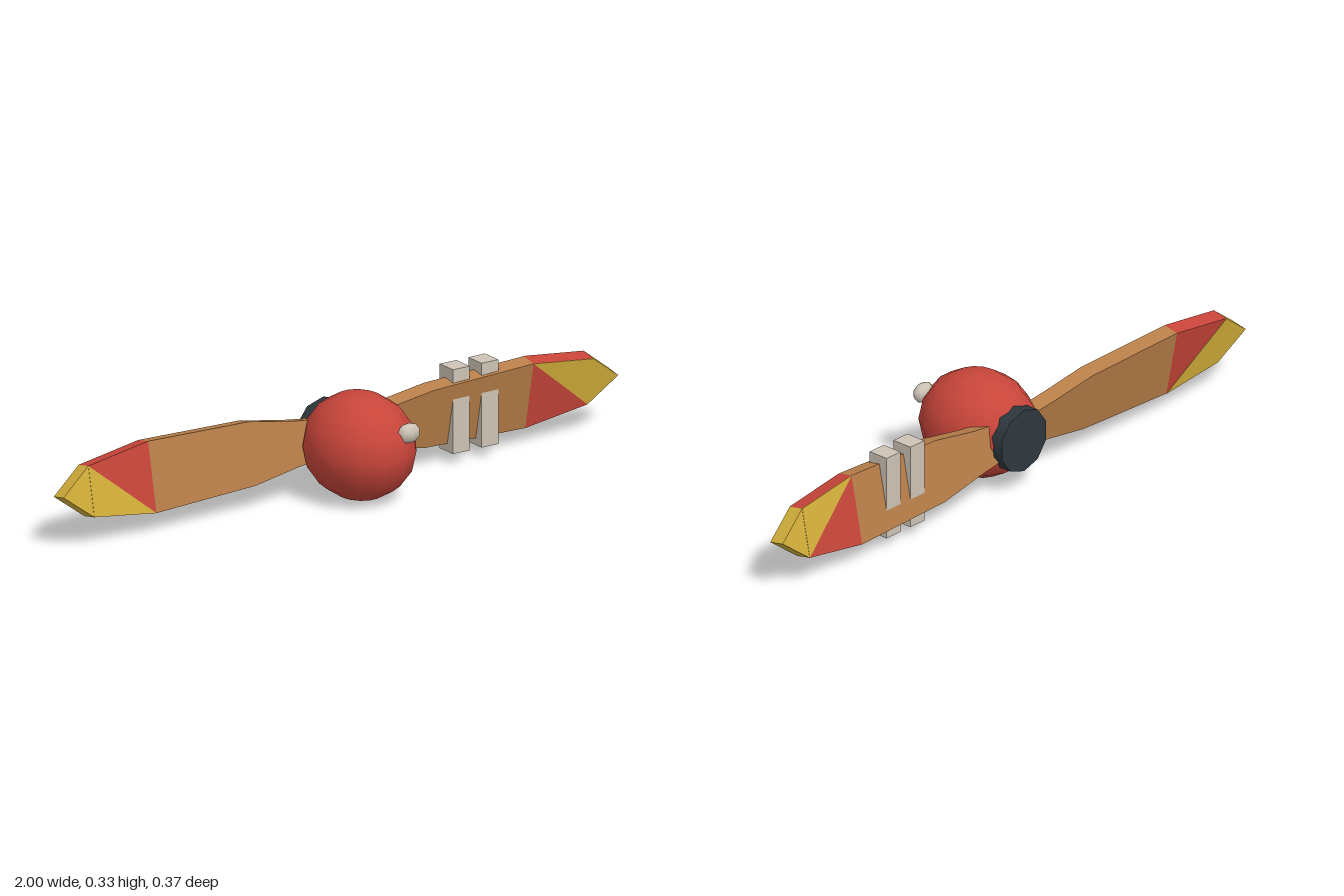
import * as THREE from 'three';

const CENTER_Y = 0.163, BLADE_Z = -0.119, DEPTH = 0.051, PITCH = 0.2;

function material(name, color) {
  const m = new THREE.MeshStandardMaterial({ color });
  m.name = name;
  return m;
}

function mesh(name, geometry, mat, parent) {
  const m = new THREE.Mesh(geometry, mat);
  m.name = name;
  parent.add(m);
  return m;
}

// Flat polygon given depth, centred on z = offset
function slab(points, depth, offset = 0) {
  const shape = new THREE.Shape(points.map(([x, y]) => new THREE.Vector2(x, y)));
  return new THREE.ExtrudeGeometry(shape, { depth, bevelEnabled: false })
    .translate(0, 0, offset - depth / 2);
}

export function createModel() {
  const red = material('red paint', 0xc8453a);
  const wood = material('wood', 0xb87f49);
  const yellow = material('yellow paint', 0xd4b03a);
  const dark = material('dark metal', 0x2e383d);
  const cream = material('pale clip', 0xcdc3b5);

  const model = new THREE.Group();
  model.name = 'propeller';

  // Rounded nose hub, slightly longer along z
  const nose = mesh('noseHub', new THREE.SphereGeometry(1, 14, 8), red, model);
  nose.scale.set(0.163, 0.163, 0.188);
  nose.position.y = CENTER_Y;

  // Small pale nub on the nose
  const nub = mesh('noseNub', new THREE.SphereGeometry(1, 8, 5), cream, model);
  nub.scale.set(0.04, 0.031, 0.024);
  nub.position.set(0.066, 0.231, 0.159);

  // Mounting disc behind the hub
  const disc = mesh('mountingDisc', new THREE.CylinderGeometry(0.1, 0.1, 0.045, 10), dark, model);
  disc.rotation.x = Math.PI / 2;
  disc.position.set(0, CENTER_Y, -0.161);

  // Blade outline corners
  const topShoulder = [0.68, 0.106], bottomShoulder = [0.68, -0.11];
  const topTip = [0.9, 0.077], bottomTip = [0.9, -0.077];

  // Two pitched blades, the second turned half way round the hub
  for (const [name, turn] of [['leftBlade', 0], ['rightBlade', Math.PI]]) {
    const arm = new THREE.Group();
    arm.name = name;
    arm.position.set(0, CENTER_Y, BLADE_Z);
    arm.rotation.z = turn;
    model.add(arm);

    const blade = new THREE.Group();
    blade.name = name + 'Pitch';
    blade.rotation.x = PITCH;
    arm.add(blade);

    mesh('woodBlade', slab([
      [0, -0.05], [0.16, -0.072], [0.32, -0.1], bottomShoulder,
      topShoulder, [0.32, 0.092], [0.16, 0.066], [0, 0.05],
    ], DEPTH), wood, blade);
    mesh('redBand', slab([bottomShoulder, bottomTip, topTip, topShoulder], DEPTH), red, blade);
    mesh('yellowTip', slab([bottomTip, [1, 0], topTip], DEPTH), yellow, blade);

    // Yellow corner painted on both faces of the red band
    for (const side of [-1, 1]) {
      mesh('yellowCorner', slab([bottomTip, topTip, topShoulder], 0.002, side * DEPTH / 2), yellow, blade);
    }
  }

  // Two upright clips around the left blade
  for (const x of [0.428, 0.531]) {
    const clip = mesh('bladeClip', new THREE.BoxGeometry(0.06, 0.262, 0.068), cream, model);
    clip.position.set(x, 0.164, BLADE_Z);
  }

  return model;
}
